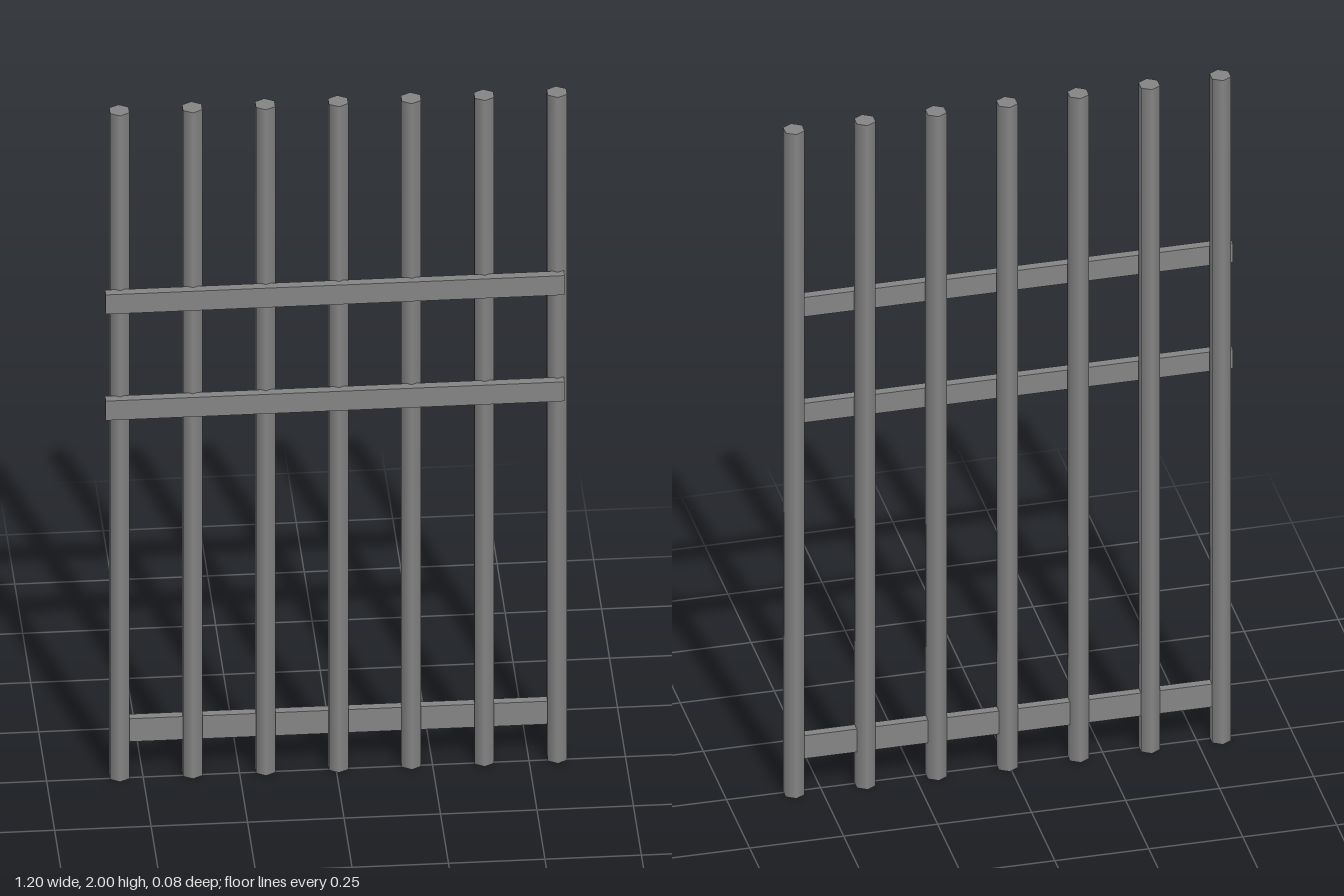
import * as THREE from 'three';

export function createModel() {
  const model = new THREE.Group();
  const material = new THREE.MeshStandardMaterial({ color: 0x858585 });

  const add = (name, geometry, x, y, z) => {
    const mesh = new THREE.Mesh(geometry, material);
    mesh.name = name;
    mesh.position.set(x, y, z);
    model.add(mesh);
  };

  // Seven smooth-shaded hexagonal upright bars, with corners facing front and back
  const barCount = 7, firstX = -0.561, spacing = 0.189, barZ = -0.009;
  const barGeometry = new THREE.CylinderGeometry(0.029, 0.029, 2, 6);
  for (let i = 0; i < barCount; i++) {
    add(`bar${i + 1}`, barGeometry, firstX + i * spacing, 1, barZ);
  }

  // Two flat rails across the front of the bars
  const railGeometry = new THREE.BoxGeometry(1.189, 0.058, 0.025);
  add('upperRail', railGeometry, -0.0055, 1.446, 0.0255);
  add('middleRail', railGeometry, -0.0055, 1.127, 0.0255);

  // Bottom rail running through the bars
  const span = (barCount - 1) * spacing;
  add('bottomRail', new THREE.BoxGeometry(span, 0.069, 0.024), firstX + span / 2, 0.1425, -0.011);

  return model;
}
